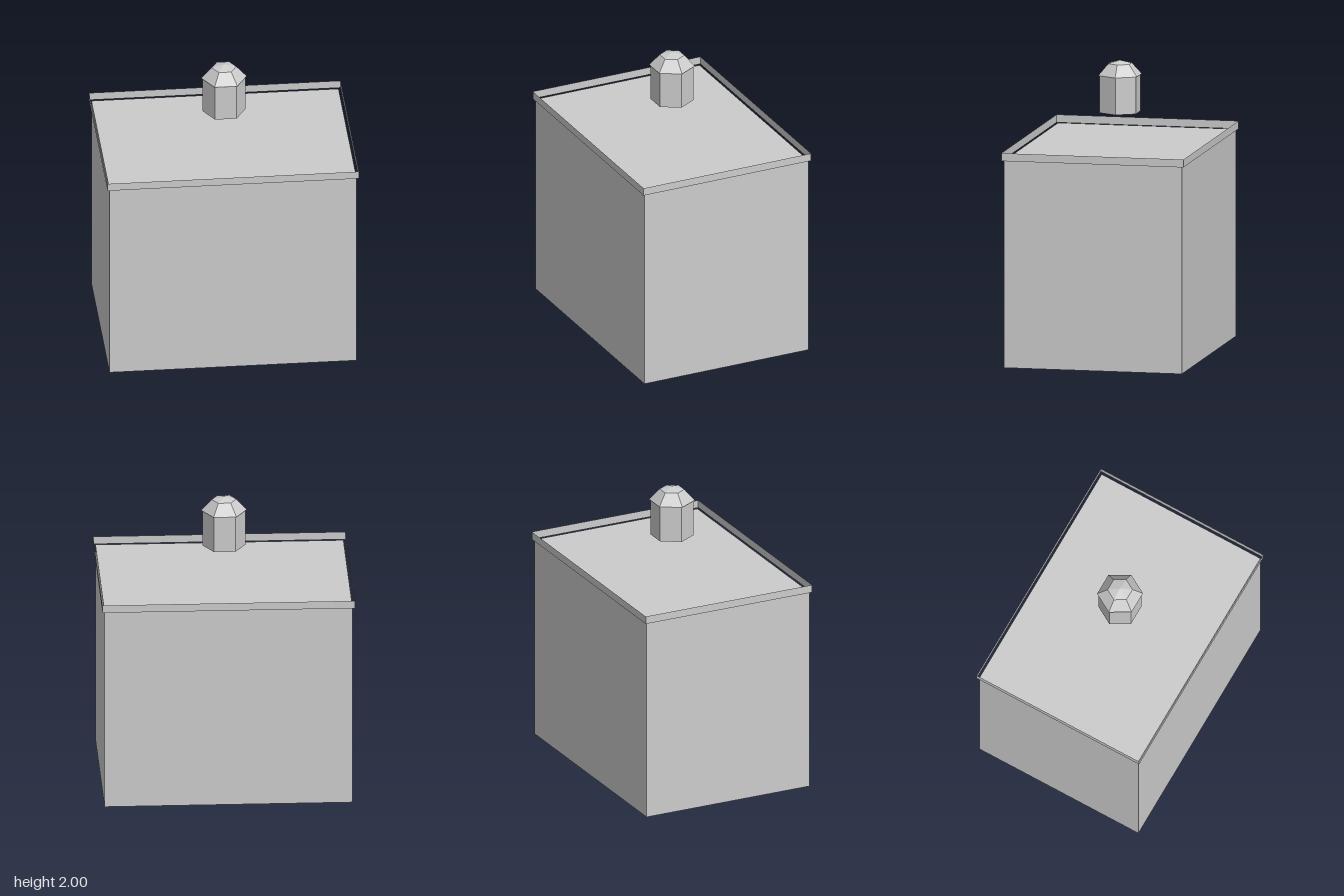
import * as THREE from 'three';

const stone = new THREE.MeshStandardMaterial({ name: 'pale grey stone', color: 0xcccccc, side: THREE.DoubleSide });

// Turns a geometry into hard-edged facets
function faceted(geometry) {
  const flat = geometry.toNonIndexed();
  flat.computeVertexNormals();
  return flat;
}

// Rectangular ring of four thin walls, open at top and bottom
function wallRing(width, depth, bottom, top) {
  const r = Math.SQRT1_2;
  const ring = new THREE.CylinderGeometry(r, r, top - bottom, 4, 1, true, Math.PI / 4);
  ring.scale(width, 1, depth);
  ring.translate(0, (bottom + top) / 2, 0);
  return faceted(ring);
}

// Six-sided shell with corners on the x axis, from [radius, height] pairs
function hexShell(profile) {
  const points = profile.map(([r, y]) => new THREE.Vector2(r, y));
  return faceted(new THREE.LatheGeometry(points, 6, Math.PI / 2));
}

export function createModel() {
  const model = new THREE.Group();
  model.name = 'building';

  function add(name, geometry, parent = model) {
    const mesh = new THREE.Mesh(geometry, stone);
    mesh.name = name;
    parent.add(mesh);
  }

  // Main block, open underneath
  const width = 1.68, depth = 1.234, roofY = 1.418;
  add('walls', wallRing(width, depth, 0, roofY));
  const roof = new THREE.PlaneGeometry(width, depth);
  roof.rotateX(-Math.PI / 2);
  roof.translate(0, roofY, 0);
  add('roof', roof);

  // Thin parapet band standing just clear of the walls
  add('parapet', wallRing(1.71, 1.262, roofY, 1.472));

  // Hexagonal cupola raised above the roof
  const cupola = new THREE.Group();
  cupola.name = 'cupola';
  model.add(cupola);
  add('cupolaWalls', hexShell([[0.146, 1.645], [0.146, 1.9]]), cupola);
  add('cupolaDome', hexShell([[0.155, 1.9], [0.084, 1.978], [0, 2]]), cupola);

  return model;
}
